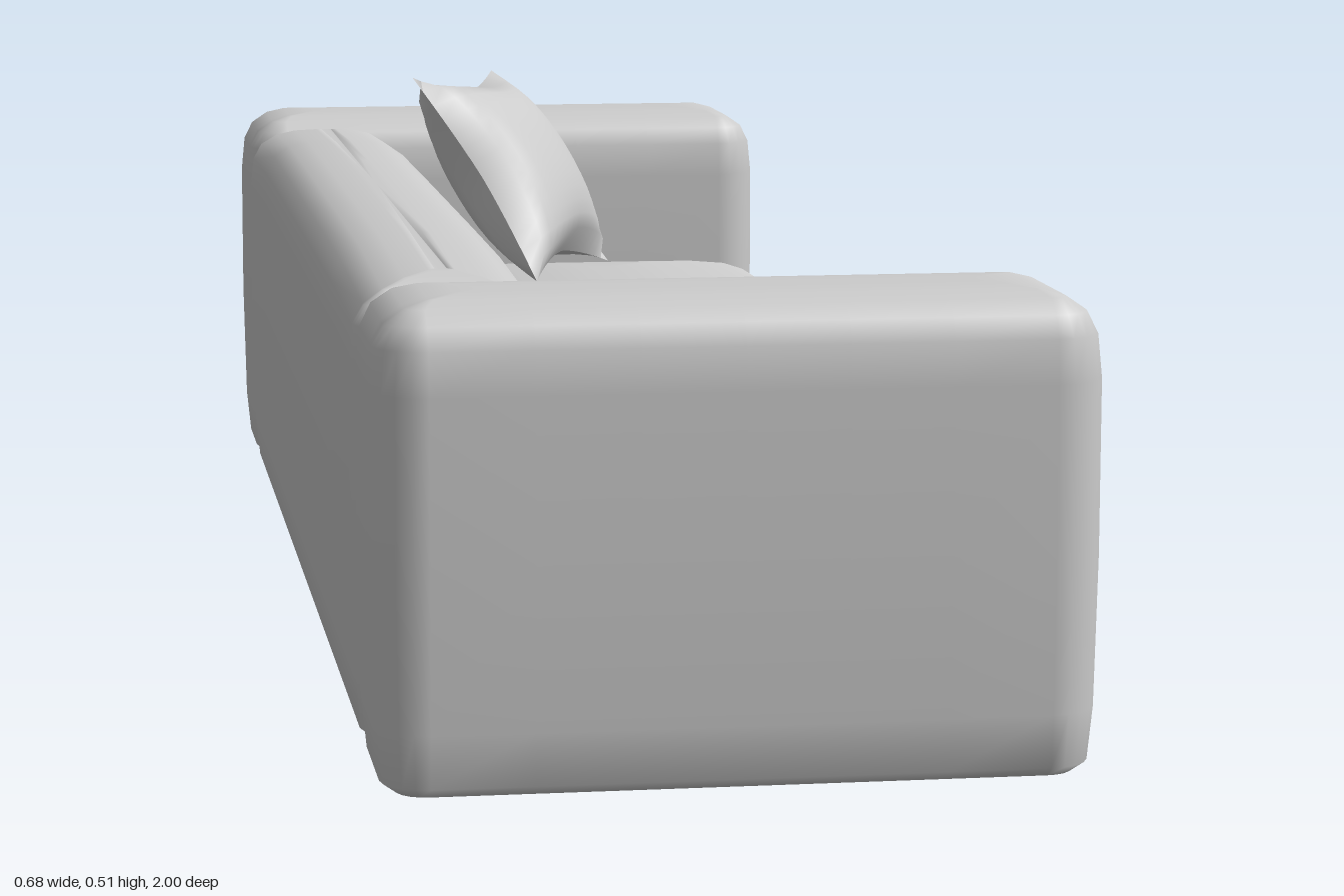
import * as THREE from 'three';

const material = new THREE.MeshStandardMaterial({ color: 0xcccccc, side: THREE.DoubleSide });

// Closed outline of a rounded rectangle, with subdivided straight sides
function outline(hw, hd, r) {
  const corners = [[1, 1], [-1, 1], [-1, -1], [1, -1]];
  const arcs = corners.map(([sx, sz], c) => {
    const pts = [];
    for (let i = 0; i <= 5; i++) {
      const a = (c + i / 5) * Math.PI / 2;
      pts.push([sx * (hw - r) + r * Math.cos(a), sz * (hd - r) + r * Math.sin(a)]);
    }
    return pts;
  });
  const loop = [];
  arcs.forEach((arc, c) => {
    loop.push(...arc);
    const a = arc[5], b = arcs[(c + 1) % 4][0];
    for (let i = 1; i < 6; i++) {
      const t = i / 6;
      loop.push([a[0] + (b[0] - a[0]) * t, a[1] + (b[1] - a[1]) * t]);
    }
  });
  return loop;
}

// Upholstered hollow block, open below; profile rows are [height, inset]
function upholstered(name, x0, x1, z0, z1, radius, profile, bulge = 0, endDrop = 0) {
  const hw = (x1 - x0) / 2, hd = (z1 - z0) / 2;
  const cx = (x0 + x1) / 2, cz = (z0 + z1) / 2;
  const top = profile[profile.length - 1][0];
  const rows = [...profile, [top, Math.min(hw, hd) - 0.006]];
  const pos = [], index = [];
  let n = 0;
  for (const [y, inset] of rows) {
    const loop = outline(hw - inset, hd - inset, Math.max(radius - inset, 0.004));
    n = loop.length;
    for (const [x, z] of loop) {
      const swell = bulge * (1 - (z / hd) ** 2) * Math.max(0, x / hw) * Math.sin(Math.PI * y / top);
      const drop = endDrop * Math.abs(z / hd) ** 6 * (y / top) ** 4;
      pos.push(cx + x + swell, y - drop, cz + z);
    }
  }
  for (let k = 0; k < rows.length - 1; k++) {
    for (let i = 0; i < n; i++) {
      const a = k * n + i, b = k * n + (i + 1) % n;
      index.push(a, a + n, b, b, a + n, b + n);
    }
  }
  // Close the narrow slit left along the middle of the top
  const last = (rows.length - 1) * n;
  pos.push(cx, top, cz);
  for (let i = 0; i < n; i++) index.push(last + i, last + n, last + (i + 1) % n);
  return mesh(name, pos, index);
}

function mesh(name, pos, index) {
  const g = new THREE.BufferGeometry();
  g.setAttribute('position', new THREE.Float32BufferAttribute(pos, 3));
  g.setIndex(index);
  g.computeVertexNormals();
  const m = new THREE.Mesh(g, material);
  m.name = name;
  return m;
}

// Square pillow with pointed corners, pinched sides and two swollen faces
function pillow(centre, u, v, thickness) {
  const N = 14, group = new THREE.Group();
  const normal = u.clone().cross(v).normalize();
  for (const side of [1, -1]) {
    const pos = [], index = [];
    for (let j = 0; j <= N; j++) {
      for (let i = 0; i <= N; i++) {
        const s = i / N * 2 - 1, t = j / N * 2 - 1;
        const ps = s * (1 - 0.2 * (1 - Math.abs(t) ** 1.5) * Math.abs(s));
        const pt = t * (1 - 0.2 * (1 - Math.abs(s) ** 1.5) * Math.abs(t));
        const h = side * thickness * Math.sqrt((1 - s * s) * (1 - t * t));
        const p = centre.clone().addScaledVector(u, ps).addScaledVector(v, pt).addScaledVector(normal, h);
        pos.push(p.x, p.y, p.z);
        if (i < N && j < N) {
          const a = j * (N + 1) + i, b = a + 1, c = a + N + 1, d = c + 1;
          if (side > 0) index.push(a, b, c, b, d, c);
          else index.push(a, c, b, b, c, d);
        }
      }
    }
    group.add(mesh(side > 0 ? 'pillowFront' : 'pillowBack', pos, index));
  }
  group.name = 'pillow';
  return group;
}

export function createModel() {
  const sofa = new THREE.Group();
  sofa.name = 'sofa';

  // Arms and backrest share one tall profile
  const tall = [[0.004, 0.04], [0, 0.022], [0.01, 0.008], [0.06, 0.003], [0.2, 0], [0.36, 0],
    [0.4, 0.004], [0.42, 0.014], [0.433, 0.033], [0.439, 0.055], [0.441, 0.08]];
  sofa.add(upholstered('leftArm', -0.34, 0.32, 0.775, 1, 0.05, tall));
  sofa.add(upholstered('rightArm', -0.34, 0.32, -1, -0.775, 0.05, tall));
  sofa.add(upholstered('backrest', -0.34, -0.155, -0.785, 0.78, 0.03, tall, 0, 0.015));

  // Two seat blocks with softly domed tops
  const low = [[0.004, 0.04], [0, 0.022], [0.01, 0.01], [0.06, 0.003], [0.12, 0], [0.19, 0.003],
    [0.222, 0.012], [0.24, 0.03], [0.252, 0.06], [0.262, 0.11], [0.27, 0.17], [0.272, 0.21]];
  sofa.add(upholstered('leftSeat', -0.158, 0.325, -0.002, 0.77, 0.03, low, 0.015));
  sofa.add(upholstered('rightSeat', -0.158, 0.325, -0.775, -0.008, 0.03, low, 0.015));

  // Loose pillow leaning against the backrest
  sofa.add(pillow(new THREE.Vector3(-0.02, 0.385, -0.61),
    new THREE.Vector3(0.068, -0.01, -0.17), new THREE.Vector3(0.07, -0.12, 0.046), 0.065));
  return sofa;
}
